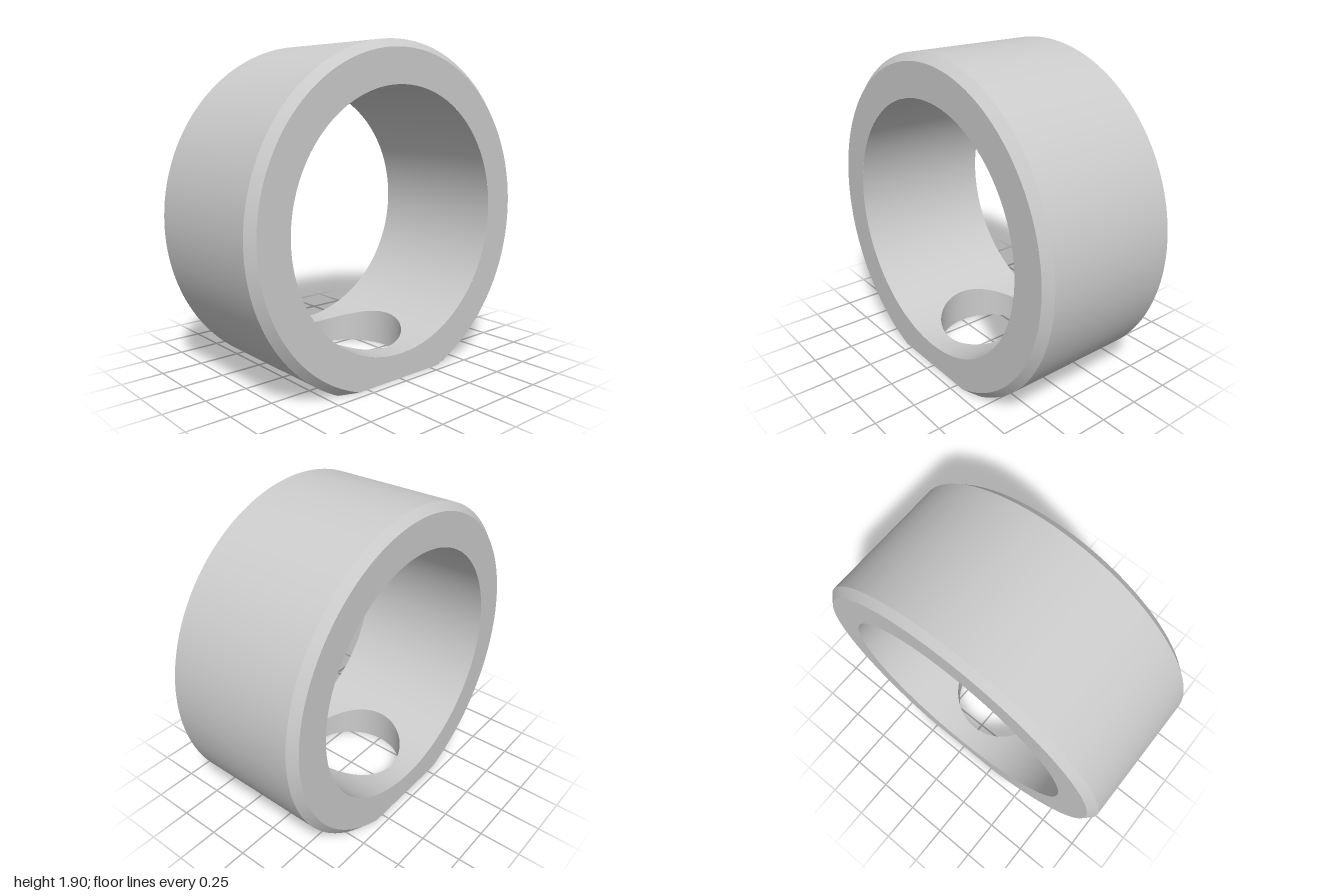
import * as THREE from 'three';

const R = 1, BORE = 0.757, YC = 0.905;   // ring radii and axis height
const HALF = 0.45, CH = 0.045;           // half width and edge chamfer
const HOLE = 0.32;                       // radius of the hole through the flat
const SEG = 144;

const material = new THREE.MeshStandardMaterial({ color: 0xcccccc });

// Surface from a rule: fn(u, v) -> [x, y, z], facing along du x dv
function surface(fn, nu, nv) {
  const pos = [], index = [];
  for (let i = 0; i <= nu; i++)
    for (let j = 0; j <= nv; j++) pos.push(...fn(i / nu, j / nv));
  for (let i = 0; i < nu; i++)
    for (let j = 0; j < nv; j++) {
      const a = i * (nv + 1) + j, b = a + nv + 1;
      index.push(a, b, b + 1, a, b + 1, a + 1);
    }
  const g = new THREE.BufferGeometry();
  g.setAttribute('position', new THREE.Float32BufferAttribute(pos, 3));
  g.setIndex(index);
  g.computeVertexNormals();
  return g;
}

// Exact inward normals for pieces of the bore, so they meet without a seam
function boreNormals(g) {
  const p = g.attributes.position, n = g.attributes.normal;
  for (let i = 0; i < p.count; i++)
    n.setXYZ(i, 0, (YC - p.getY(i)) / BORE, -p.getZ(i) / BORE);
  return g;
}

const outerRadius = x => R - Math.max(0, Math.abs(x) - (HALF - CH));
const flatAngle = x => Math.acos(YC / outerRadius(x));
const boreFloor = z => YC - Math.sqrt(BORE * BORE - z * z);

export function createModel() {
  const group = new THREE.Group();
  const add = (name, geometry) => {
    const mesh = new THREE.Mesh(geometry, material);
    mesh.name = name;
    group.add(mesh);
    return mesh;
  };

  // Outer skin between two x stations, stopping at the flat
  const skin = (x0, x1, steps) => surface((u, v) => {
    const x = x0 + (x1 - x0) * u, r = outerRadius(x), a = flatAngle(x);
    const phi = a + (2 * Math.PI - 2 * a) * v;
    return [x, YC - r * Math.cos(phi), r * Math.sin(phi)];
  }, steps, SEG);
  add('outerBand', skin(-HALF + CH, HALF - CH, 1));
  add('leftChamfer', skin(HALF - CH, HALF, 6));
  add('rightChamfer', skin(-HALF, -HALF + CH, 6));

  // Flat ring-shaped end faces
  const a = flatAngle(HALF);
  const face = new THREE.Shape();
  face.absarc(0, YC, R - CH, -Math.PI / 2 + a, 1.5 * Math.PI - a, false);
  face.holes.push(new THREE.Path().absarc(0, YC, BORE, 0, Math.PI * 2, true));
  for (const side of [1, -1]) {
    const mesh = add(side > 0 ? 'leftFace' : 'rightFace', new THREE.ShapeGeometry(face, SEG));
    mesh.rotation.y = side * Math.PI / 2;
    mesh.position.x = side * HALF;
  }

  // Bore: plain part, then the floor patch around the hole
  const b = Math.asin(HALF / BORE);
  add('bore', boreNormals(surface((u, v) => {
    const phi = b + (2 * Math.PI - 2 * b) * u;
    return [HALF * (2 * v - 1), YC - BORE * Math.cos(phi), BORE * Math.sin(phi)];
  }, SEG, 1)));
  add('boreFloor', boreNormals(surface((u, v) => {
    const t = u * Math.PI * 2, c = Math.cos(t), s = Math.sin(t);
    const edge = HALF / Math.max(Math.abs(c), Math.abs(s));
    const r = HOLE + (edge - HOLE) * v;
    return [r * c, boreFloor(r * s), r * s];
  }, SEG, 8)));

  // Wall of the hole, from the flat up to the curved bore
  add('holeWall', surface((u, v) => {
    const t = u * Math.PI * 2, z = HOLE * Math.sin(t);
    return [HOLE * Math.cos(t), v * boreFloor(z), z];
  }, SEG, 1));

  // Flat underside, with corners cut by the chamfers
  const corner = [];
  for (let i = 0; i <= 6; i++) {
    const x = HALF - CH * i / 6;
    corner.push([x, outerRadius(x) * Math.sin(flatAngle(x))]);
  }
  const back = corner.slice().reverse();
  const outline = [
    ...corner, ...back.map(([x, z]) => [-x, z]),
    ...corner.map(([x, z]) => [-x, -z]), ...back.map(([x, z]) => [x, -z]),
  ].map(([x, z]) => new THREE.Vector2(x, z));
  const base = new THREE.Shape(outline);
  base.holes.push(new THREE.Path().absarc(0, 0, HOLE, 0, Math.PI * 2, true));
  add('flatBase', new THREE.ShapeGeometry(base, SEG)).rotation.x = Math.PI / 2;

  return group;
}
